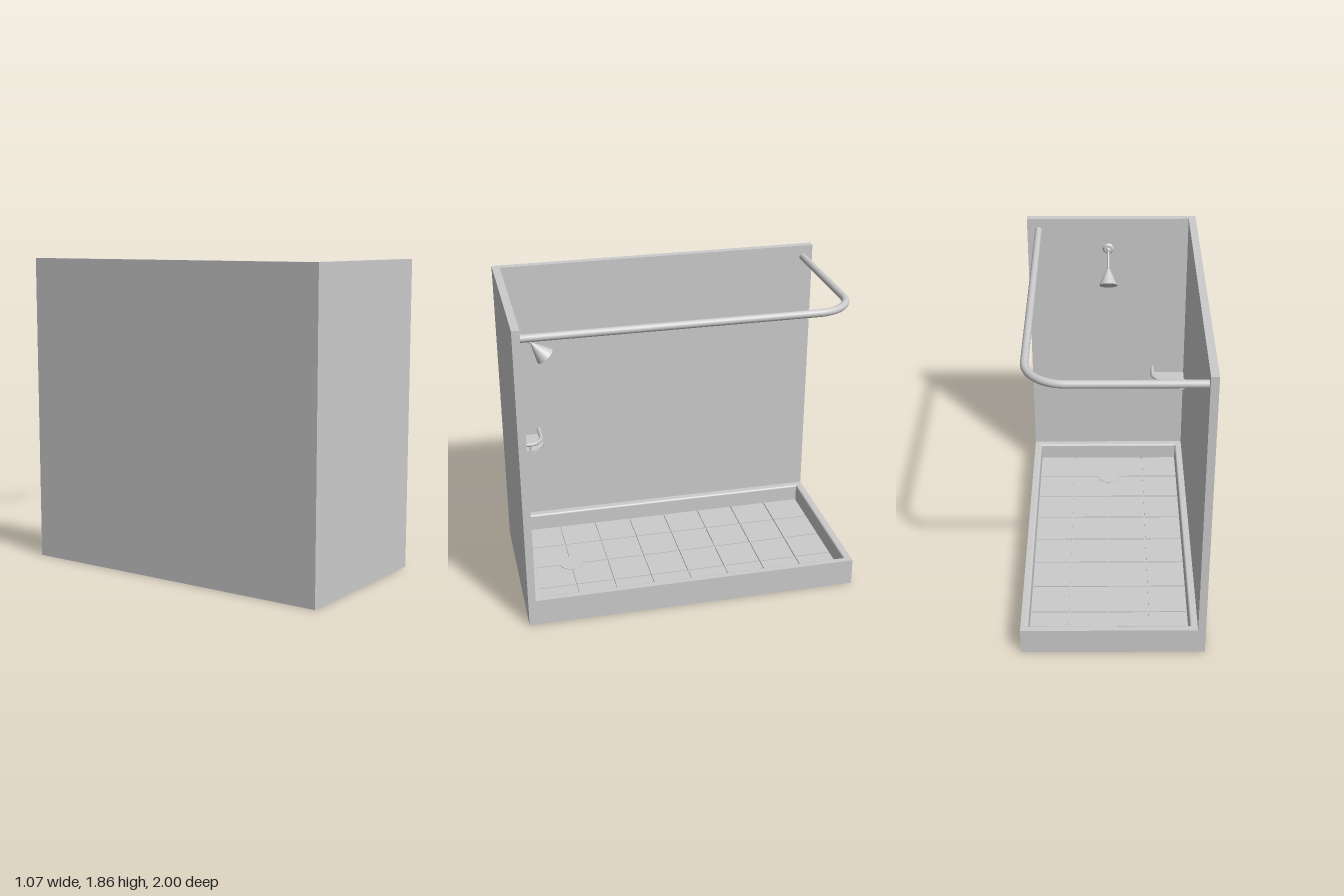
import * as THREE from 'three';

const mat = new THREE.MeshStandardMaterial({ color: 0xcccccc });
const W = 0.535, L = 1, T = 0.045;      // half width, half length, wall thickness
const RIM = 0.165, TOP = 1.86, FLOOR = 0.06;

export function createModel() {
  const root = new THREE.Group();
  root.name = 'showerStall';

  function add(name, geo, x = 0, y = 0, z = 0, parent = root) {
    const m = new THREE.Mesh(geo, mat);
    m.name = name;
    m.position.set(x, y, z);
    parent.add(m);
    return m;
  }
  // box given by its minimum and maximum corners
  function box(name, x0, y0, z0, x1, y1, z1) {
    return add(name, new THREE.BoxGeometry(x1 - x0, y1 - y0, z1 - z0),
      (x0 + x1) / 2, (y0 + y1) / 2, (z0 + z1) / 2);
  }
  // round bar between two points, optionally tapered
  function bar(name, a, b, ra, rb = ra, parent = root) {
    const d = b.clone().sub(a);
    const m = add(name, new THREE.CylinderGeometry(rb, ra, d.length(), 32), 0, 0, 0, parent);
    m.position.copy(a).addScaledVector(d, 0.5);
    m.quaternion.setFromUnitVectors(new THREE.Vector3(0, 1, 0), d.normalize());
    return m;
  }
  const v = (x, y, z) => new THREE.Vector3(x, y, z);

  // Walls: one long side and the front end
  box('sideWall', -W, RIM, -L, -W + T, TOP, L);
  box('frontWall', -W + T, RIM, L - T, W, TOP, L);

  // Tray: slab plus four rims with a rounded inner top edge
  box('trayBase', -W, 0, -L, W, FLOOR - 0.01, L);
  function rim(name, width, length, x, z, turn) {
    const r = 0.013, s = new THREE.Shape();
    s.moveTo(0, 0);
    s.lineTo(width, 0);
    s.lineTo(width, RIM - r);
    s.absarc(width - r, RIM - r, r, 0, Math.PI / 2, false);
    s.lineTo(0, RIM);
    s.closePath();
    const g = new THREE.ExtrudeGeometry(s, { depth: length, bevelEnabled: false, curveSegments: 6 });
    add(name, g, x, 0, z).rotation.y = turn;
  }
  rim('sideRim', 2 * T, 2 * L, -W, -L, 0);
  rim('openSideRim', T, 2 * L, W, L, Math.PI);
  rim('backRim', T, 2 * W, W, -L, -Math.PI / 2);
  rim('frontRim', 2 * T, 2 * W, -W, L, Math.PI / 2);

  // Floor tiles
  const x0 = -0.445, z0 = -0.955, sx = 0.234, sz = 0.2331, gap = 0.008;
  for (let i = 0; i < 4; i++) {
    for (let j = 0; j < 8; j++) {
      const x = x0 + i * sx, z = z0 + j * sz;
      box('floorTile', x + gap / 2, FLOOR - 0.012, z + gap / 2,
        x + sx - gap / 2, FLOOR, z + sz - gap / 2);
    }
  }
  add('drain', new THREE.CylinderGeometry(0.07, 0.07, 0.012, 40), 0.02, FLOOR - 0.002, 0.67);

  // Curtain rod, bent round the open corner
  const rodY = 1.785, rx = 0.463, rz = -0.94, bend = 0.22, k = bend * 0.4477;
  const rod = new THREE.CurvePath();
  rod.add(new THREE.LineCurve3(v(-W + T, rodY, rz), v(rx - bend, rodY, rz)));
  rod.add(new THREE.CubicBezierCurve3(v(rx - bend, rodY, rz), v(rx - k, rodY, rz),
    v(rx, rodY, rz + k), v(rx, rodY, rz + bend)));
  rod.add(new THREE.LineCurve3(v(rx, rodY, rz + bend), v(rx, rodY, L - T)));
  add('curtainRod', new THREE.TubeGeometry(rod, 160, 0.022, 20, false));

  // Shower head on its arm
  const head = new THREE.Group();
  head.name = 'showerHead';
  root.add(head);
  const hx = 0.02, joint = v(hx, 1.655, 0.935), neck = v(hx, 1.568, 0.842), face = v(hx, 1.484, 0.771);
  bar('wallFlange', v(hx, 1.655, L - T), v(hx, 1.655, 0.943), 0.036, 0.026, head);
  add('armJoint', new THREE.SphereGeometry(0.015, 20, 14), joint.x, joint.y, joint.z, head);
  bar('arm', joint, neck, 0.007, 0.007, head);
  bar('sprayCone', neck, face, 0.009, 0.058, head);

  // Corner shelf with a guard rail
  const shelf = new THREE.Group();
  shelf.name = 'cornerShelf';
  shelf.position.set(-W + T, 0, L - T);
  root.add(shelf);
  const w = 0.225, d = 0.19, fx = 0.11, fz = 0.1;   // reach along each wall, straight lengths
  const plate = new THREE.Shape();
  plate.moveTo(0, 0);
  plate.lineTo(w, 0);
  plate.lineTo(w, fz);
  plate.bezierCurveTo(w, fz + 0.05, fx + 0.06, d, fx, d);
  plate.lineTo(0, d);
  plate.closePath();
  const pg = new THREE.ExtrudeGeometry(plate, { depth: 0.024, bevelEnabled: false, curveSegments: 16 });
  pg.rotateX(-Math.PI / 2);
  add('shelfPlate', pg, 0, 0.711, 0, shelf);
  const ry = 0.772, i = 0.012;
  const rail = new THREE.CurvePath();
  rail.add(new THREE.LineCurve3(v(w - i, ry, 0), v(w - i, ry, -fz)));
  rail.add(new THREE.CubicBezierCurve3(v(w - i, ry, -fz), v(w - i, ry, -fz - 0.045),
    v(fx + 0.055, ry, -d + i), v(fx, ry, -d + i)));
  rail.add(new THREE.LineCurve3(v(fx, ry, -d + i), v(0, ry, -d + i)));
  add('shelfRail', new THREE.TubeGeometry(rail, 60, 0.012, 12, false), 0, 0, 0, shelf);
  for (const [px, pz] of [[w - i, -0.02], [w - i, -fz], [fx, -d + i], [0.02, -d + i]]) {
    bar('railPost', v(px, 0.73, pz), v(px, ry, pz), 0.007, 0.007, shelf);
  }

  return root;
}
